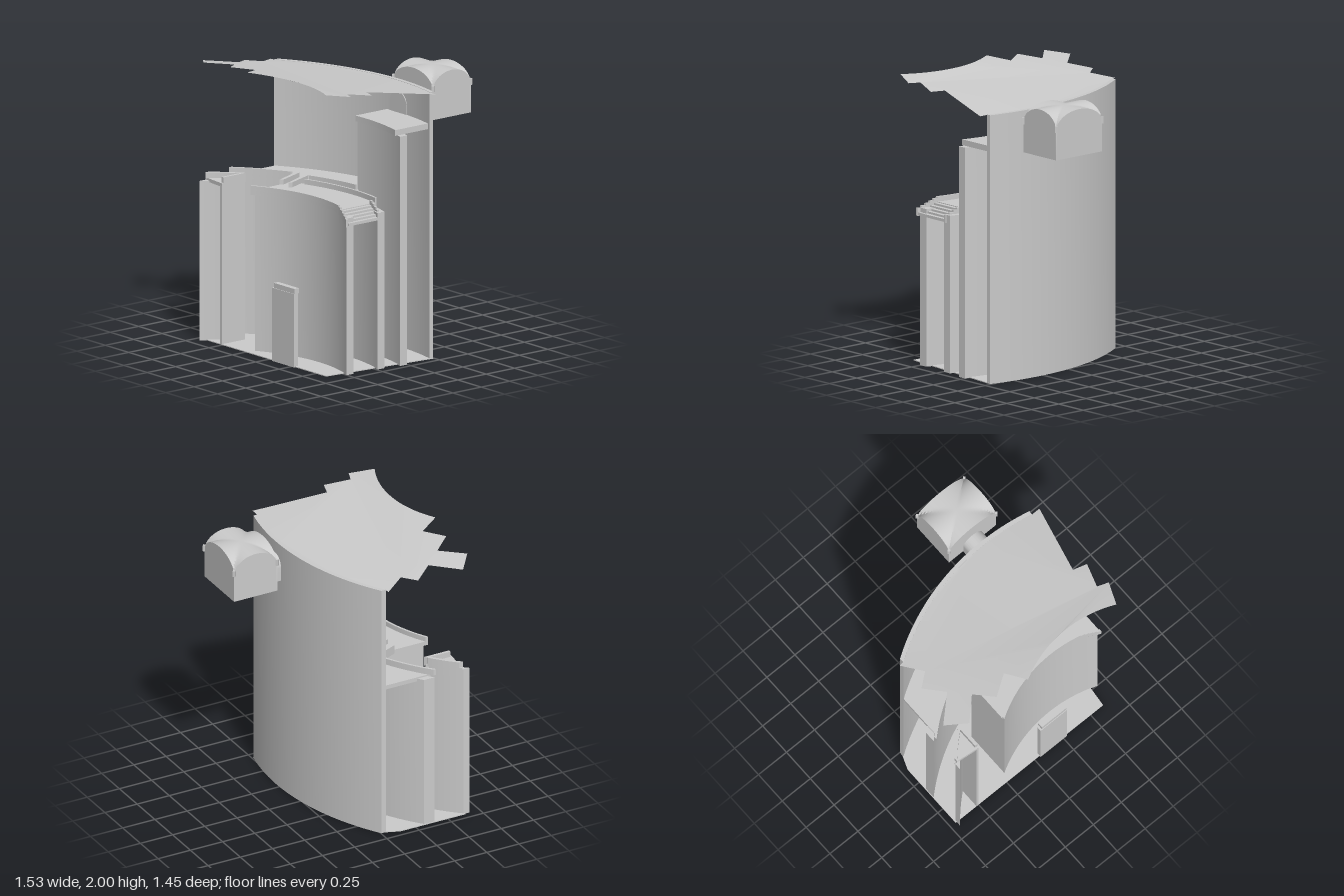
import * as THREE from 'three';
import { toCreasedNormals } from 'three/addons/utils/BufferGeometryUtils.js';

// All curved parts share one vertical axis
const CX = 0.3, CZ = 1.475;
const arcZ = (r, x) => CZ - Math.sqrt(r * r - (x - CX) ** 2);

export function createModel() {
  const model = new THREE.Group();
  const mat = new THREE.MeshStandardMaterial({ color: 0xcccccc, side: THREE.DoubleSide });

  function add(name, geometry, parent = model) {
    const mesh = new THREE.Mesh(geometry, mat);
    mesh.name = name;
    parent.add(mesh);
    return mesh;
  }

  function box(name, x0, x1, y0, y1, z0, z1, parent) {
    const m = add(name, new THREE.BoxGeometry(x1 - x0, y1 - y0, z1 - z0), parent);
    m.position.set((x0 + x1) / 2, (y0 + y1) / 2, (z0 + z1) / 2);
    return m;
  }

  // Points [x, z] along an arc of radius r
  function arc(r, x0, x1, n = 24) {
    return Array.from({ length: n + 1 }, (_, i) => {
      const x = x0 + (x1 - x0) * i / n;
      return [x, arcZ(r, x)];
    });
  }

  const planShape = (pts) => new THREE.Shape(pts.map(([x, z]) => new THREE.Vector2(x, -z)));

  // Plan outline raised from y0 to y1
  function prism(name, pts, y0, y1, parent) {
    const g = new THREE.ExtrudeGeometry(planShape(pts), { depth: y1 - y0, bevelEnabled: false });
    g.rotateX(-Math.PI / 2).translate(0, y0, 0);
    return add(name, toCreasedNormals(g, 0.5), parent);
  }

  // Curved wall or slab between two radii
  const ring = (name, r0, r1, x0, x1, y0, y1, parent) =>
    prism(name, [...arc(r0, x0, x1), ...arc(r1, x1, x0)], y0, y1, parent);

  // Round-headed solid running along z
  function arch(name, x, w, y0, top, z0, z1) {
    const s = new THREE.Shape();
    s.moveTo(-w / 2, y0);
    s.lineTo(w / 2, y0);
    s.lineTo(w / 2, top - w / 2);
    s.absarc(0, top - w / 2, w / 2, 0, Math.PI, false);
    s.closePath();
    const g = new THREE.ExtrudeGeometry(s, { depth: z1 - z0, bevelEnabled: false, curveSegments: 16 });
    g.translate(x, 0, z0);
    return add(name, toCreasedNormals(g, 0.5));
  }

  // Ground plate, cut to the section lines
  prism('floor', [[-0.705, 0.13], [-0.705, 0.635], [0.61, 0.635], [0.70, -0.24],
    ...arc(1.74, 0.69, -0.665)], 0, 0.006);

  // Concentric walls, front to back
  const walls = new THREE.Group();
  walls.name = 'curvedWalls';
  model.add(walls);
  ring('frontWall', 1.04, 1.10, -0.22, 0.67, 0, 1.10, walls);
  ring('secondWall', 1.29, 1.35, -0.22, 0.685, 0, 1.10, walls);
  ring('thirdWall', 1.47, 1.53, -0.70, 0.21, 0, 1.12, walls);
  ring('towerFrontWall', 1.47, 1.53, 0.19, 0.71, 0, 1.61, walls);
  ring('backWall', 1.73, 1.76, -0.665, 0.695, 0, 1.875, walls);
  prism('towerSideWall', [[0.19, arcZ(1.5, 0.19)], [0.21, arcZ(1.5, 0.21)],
    [0.21, arcZ(1.74, 0.21)], [0.19, arcZ(1.74, 0.19)]], 0, 1.61, walls);
  prism('passageRightWall', [[-0.22, arcZ(1.04, -0.22)], [-0.2, arcZ(1.04, -0.2)],
    [-0.2, arcZ(1.34, -0.2)], [-0.22, arcZ(1.34, -0.22)]], 0, 1.10, walls);

  // Small corner block left of the passage
  ring('cornerCurvedWall', 1.28, 1.31, -0.695, -0.5, 0, 1.12, walls);
  box('passageLeftWall', -0.52, -0.5, 0, 1.12, 0.43, 0.635, walls);
  prism('cornerPlatform', [...arc(1.32, -0.70, -0.5, 8), [-0.5, 0.635]], 1.11, 1.135);
  ring('cornerRail', 1.30, 1.32, -0.685, -0.5, 1.13, 1.175);
  box('cornerSideRail', -0.52, -0.5, 1.13, 1.175, 0.44, 0.62);

  // Front gallery, bridge and back gallery
  ring('frontGallery', 1.03, 1.36, -0.24, 0.55, 1.10, 1.13);
  ring('frontGalleryRail', 1.03, 1.045, -0.24, 0.55, 1.13, 1.165);
  ring('frontGalleryInnerRail', 1.345, 1.36, -0.14, 0.55, 1.13, 1.165);
  ring('backGallery', 1.45, 1.735, -0.66, 0.2, 1.10, 1.13);
  ring('backGalleryRailLeft', 1.45, 1.465, -0.69, -0.33, 1.13, 1.175);
  ring('backGalleryRailRight', 1.45, 1.465, -0.2, 0.19, 1.13, 1.165);
  const bridge = (name, o0, o1, y0, y1) => prism(name, [[-0.24 + o0, 0.34], [-0.24 + o1, 0.32],
    [-0.32 + o1, 0.11], [-0.32 + o0, 0.15]], y0, y1);
  bridge('bridge', 0, 0.11, 1.10, 1.13);
  bridge('bridgeRail', 0, 0.015, 1.13, 1.165);
  bridge('bridgeRail', 0.095, 0.11, 1.13, 1.165);

  // Steps descending at the right end of the gallery
  const steps = 5;
  for (let i = 0; i < steps; i++) {
    const x = 0.55 + i * 0.028, y = 1.125 - i * 0.014;
    ring('step', 1.05, 1.30, x, x + 0.028, y - 0.02, y);
    for (const r of [1.03, 1.30]) ring('stairRail', r, r + 0.015, x, x + 0.028, y - 0.025, y + 0.03);
  }

  // Tower deck and arched doorway in the back wall
  ring('towerDeck', 1.45, 1.735, 0.19, 0.67, 1.61, 1.65);
  arch('archedDoor', 0.31, 0.18, 1.65, 1.80, -0.26, -0.248);

  // Front door slab with its lintel
  box('frontDoor', 0.045, 0.28, 0, 0.515, 0.61, 0.645);
  box('doorLintel', 0.06, 0.28, 0.515, 0.55, 0.6, 0.64);

  // Passage to the rear chamber
  arch('rearPassage', 0.31, 0.165, 1.605, 1.787, -0.39, -0.27);

  // Rear chamber roofed by a cross vault
  const w = 0.42, d = 0.335, cz = -0.55;
  const chamber = new THREE.BoxGeometry(w, 0.2, d, 24, 1, 24);
  const p = chamber.attributes.position;
  const bow = (t) => Math.sqrt(Math.max(0, 1 - t * t));
  for (let i = 0; i < p.count; i++) {
    const u = p.getX(i) / (w / 2), v = p.getZ(i) / (d / 2);
    p.setY(i, p.getY(i) < 0 ? 1.615 : 1.82 + 0.122 * Math.max(bow(u), bow(v)));
  }
  chamber.translate(0.31, 0, cz);
  add('vaultedChamber', toCreasedNormals(chamber, 0.6));
  for (const sx of [-1, 1]) for (const sz of [-1, 1]) {
    const cap = add('cornerBracket', new THREE.BoxGeometry(0.018, 0.045, 0.018));
    cap.position.set(0.31 + sx * w / 2, 1.833, cz + sz * d / 2);
    cap.rotation.y = Math.PI / 4;
  }

  // Thin ragged roof rising away from the back wall
  const outline = [[-0.70, 0.04], [-0.60, 0.19], [-0.70, 0.27], [-0.59, 0.41], [-0.77, 0.58],
    [-0.63, 0.69], [-0.48, 0.54], [-0.37, 0.67], [-0.22, 0.57], ...arc(0.87, -0.13, 0.68, 16),
    [0.75, 0.53], [0.67, 0.50], [0.73, 0.325], [0.63, 0.295], [0.76, -0.21],
    ...arc(1.73, 0.69, -0.66, 20)];
  const roof = new THREE.ShapeGeometry(planShape(outline));
  roof.rotateX(-Math.PI / 2);
  const q = roof.attributes.position;
  for (let i = 0; i < q.count; i++) {
    const rise = Math.max(0, q.getZ(i) - arcZ(1.73, q.getX(i)));
    q.setY(i, 1.873 + 0.14 * rise);
  }
  roof.computeVertexNormals();
  add('roof', roof);

  return model;
}
